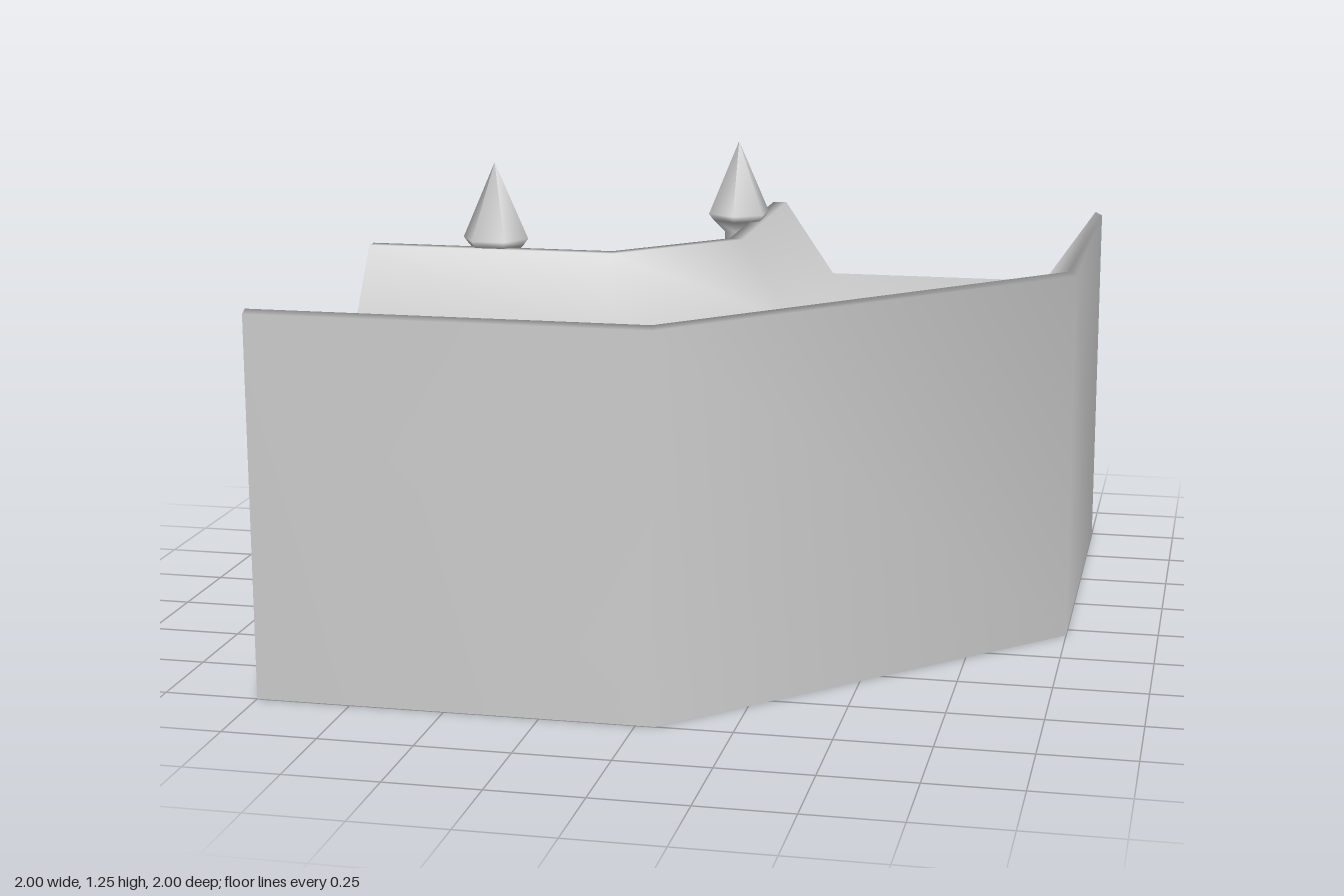
import * as THREE from 'three';

const material = new THREE.MeshStandardMaterial({ color: 0xcccccc, side: THREE.DoubleSide });

// Cross-section from the foot of the outer wall, over the trough, to the foot
// of the inner wall: [offset from the inner side, height]
const profile = [
  [1, 0], [1, 1.01], [0.98, 1.02], [0.83, 0.8],
  [0.17, 0.8], [0.02, 1.02], [-0.02, 1.02], [0.045, 0.64], [0.045, 0],
];

// The bend: two straight legs joined by a diagonal, mirrored about x = -z
function pathAt(t) {
  const corner = -0.3 + (t + 0.02) * 0.35 / 1.02;
  return [[-1, t], [corner, t], [t, corner], [t, -1]];
}

function createRampart() {
  const positions = [];
  const index = [];
  const stations = 4;
  for (const [t, y] of profile) {
    for (const [x, z] of pathAt(t)) positions.push(x, y, z);
  }
  for (let j = 0; j < profile.length - 1; j++) {
    for (let i = 0; i < stations - 1; i++) {
      const a = j * stations + i;
      const b = a + 1;
      const c = a + stations;
      const d = c + 1;
      index.push(a, b, c, b, d, c);
    }
  }
  const geometry = new THREE.BufferGeometry();
  geometry.setAttribute('position', new THREE.Float32BufferAttribute(positions, 3));
  geometry.setIndex(index);
  geometry.computeVertexNormals();
  const mesh = new THREE.Mesh(geometry, material);
  mesh.name = 'cornerRampart';
  return mesh;
}

// Six-sided post: bottom spike, shaft and pointed cap
function createPost(name, x, z, turn) {
  const points = [
    [0, 0.62], [0.025, 0.75], [0.045, 0.75], [0.045, 0.985],
    [0.08, 1.02], [0.095, 1.04], [0, 1.255],
  ].map(([r, y]) => new THREE.Vector2(r, y));
  const mesh = new THREE.Mesh(new THREE.LatheGeometry(points, 6), material);
  mesh.name = name;
  mesh.position.set(x, 0, z);
  mesh.rotation.y = turn;
  return mesh;
}

export function createModel() {
  const model = new THREE.Group();
  model.name = 'cornerWall';
  model.add(
    createRampart(),
    createPost('rightPost', -0.65, -0.062, Math.PI / 2),
    createPost('backPost', -0.062, -0.65, 0),
  );
  return model;
}
